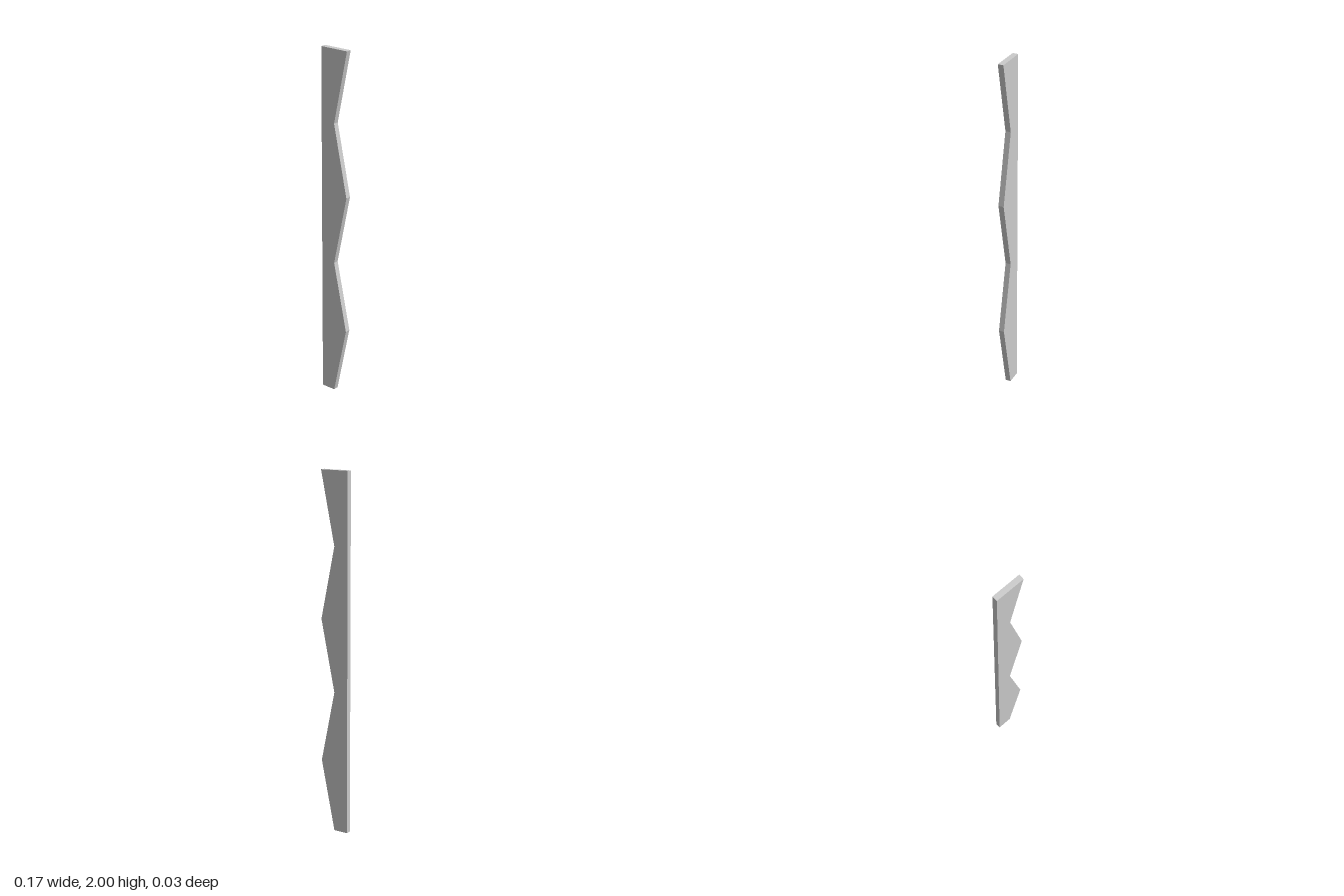
import * as THREE from 'three';

export function createModel() {
  const group = new THREE.Group();
  group.name = 'zigzagBoard';

  const halfWidth = 0.083, depth = 0.031, step = 0.4, steps = 5;

  // Straight edge on one side, zigzag edge on the other
  const outline = new THREE.Shape();
  outline.moveTo(-halfWidth, 0);
  for (let i = 0; i <= steps; i++) outline.lineTo(i % 2 ? halfWidth : 0, i * step);
  outline.lineTo(-halfWidth, steps * step);
  outline.closePath();

  // Flat board, centred through its thickness
  const geometry = new THREE.ExtrudeGeometry(outline, { depth, bevelEnabled: false });
  geometry.translate(0, 0, -depth / 2);

  const board = new THREE.Mesh(
    geometry,
    new THREE.MeshStandardMaterial({ color: 0xcccccc, flatShading: true })
  );
  board.name = 'board';
  group.add(board);
  return group;
}
